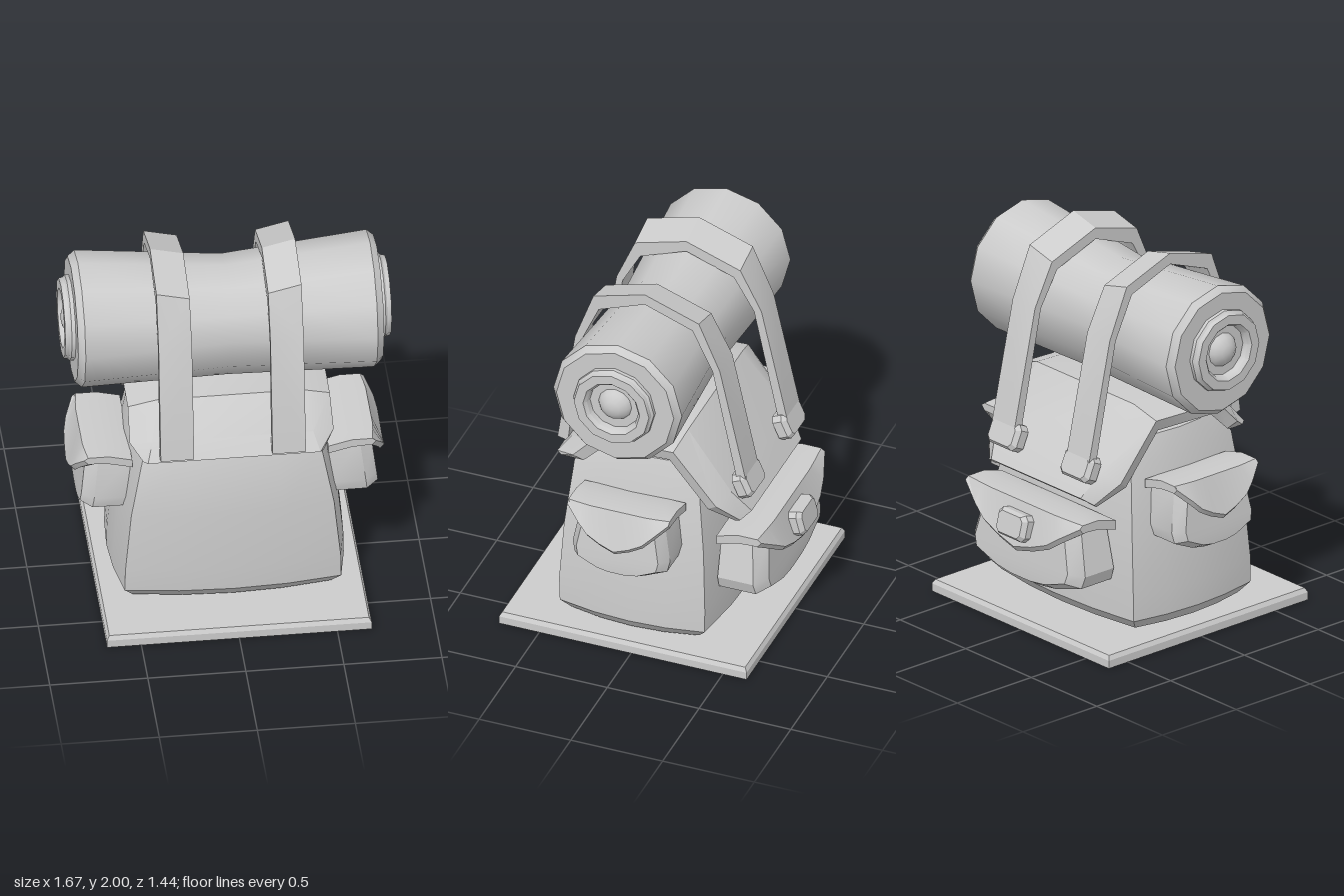
import * as THREE from 'three';
import { toCreasedNormals } from 'three/addons/utils/BufferGeometryUtils.js';

const material = new THREE.MeshStandardMaterial({ color: 0xcccccc });

// Skin a series of equal-length (even) rings and close both ends.
function loft(rings, crease = 0.5) {
  const n = rings[0].length;
  const pos = [];
  const quad = (a, b, c, d) => pos.push(...a, ...b, ...c, ...a, ...c, ...d);
  for (let r = 0; r < rings.length - 1; r++) {
    for (let i = 0; i < n; i++) {
      const j = (i + 1) % n;
      quad(rings[r][i], rings[r][j], rings[r + 1][j], rings[r + 1][i]);
    }
  }
  const last = rings[rings.length - 1];
  for (let i = 0; i < n / 2 - 1; i++) {
    quad(rings[0][n - 1 - i], rings[0][n - 2 - i], rings[0][i + 1], rings[0][i]);
    quad(last[i], last[i + 1], last[n - 2 - i], last[n - 1 - i]);
  }
  // Turn the faces outward if the enclosed volume is negative
  let volume = 0;
  const p = (k) => new THREE.Vector3(pos[k], pos[k + 1], pos[k + 2]);
  for (let k = 0; k < pos.length; k += 9) volume += p(k).dot(p(k + 3).cross(p(k + 6)));
  if (volume < 0) {
    for (let k = 0; k < pos.length; k += 9) {
      for (let m = 0; m < 3; m++) [pos[k + 3 + m], pos[k + 6 + m]] = [pos[k + 6 + m], pos[k + 3 + m]];
    }
  }
  const geo = new THREE.BufferGeometry();
  geo.setAttribute('position', new THREE.Float32BufferAttribute(pos, 3));
  return toCreasedNormals(geo, crease);
}

function add(parent, name, geo) {
  const mesh = new THREE.Mesh(geo, material);
  mesh.name = name;
  parent.add(mesh);
  return mesh;
}

// Rectangle with sharp corners and gently bulging sides, as x, z points
function bulgedRect(hx, back, front, bulge) {
  const cz = (back + front) / 2, hz = (front - back) / 2;
  const cx = hx - bulge, ch = hz - bulge;
  const steps = [-1, -0.5, 0, 0.5];
  const swell = (t) => bulge * (1 - t * t);
  return [
    ...steps.map((t) => [t * cx, cz + ch + swell(t)]),
    ...steps.map((t) => [cx + swell(t), cz - t * ch]),
    ...steps.map((t) => [-t * cx, cz - ch - swell(t)]),
    ...steps.map((t) => [-cx - swell(t), cz + t * ch]),
  ];
}

// Bevelled buckle facing +z
function buckle() {
  const outline = [[0.085, 0.07], [0.11, 0.045], [0.11, -0.045], [0.085, -0.07],
    [-0.085, -0.07], [-0.11, -0.045], [-0.11, 0.045], [-0.085, 0.07]];
  const layers = [[1, -0.03], [1, 0.02], [0.8, 0.043]];
  return loft(layers.map(([s, z]) => outline.map(([x, y]) => [x * s, y * s, z])));
}

// Pouch with a pointed lid; top at y = 0, facing +z
function pocket(name, hw) {
  const group = new THREE.Group();
  group.name = name;
  const half = [[0.85, -0.05], [1, -0.27], [0.95, -0.33], [0.5, -0.385], [0.2, -0.4]];
  const outline = [...half, ...half.map(([u, y]) => [-u, y]).reverse()];
  add(group, 'pouch', loft([[0, 1], [0.2, 1], [0.262, 0.84]].map(([d, s]) =>
    outline.map(([u, y]) => {
      const py = -0.2 + (y + 0.2) * s;
      return [u * hw * s, py, d - (d > 0 ? 0.12 * Math.max(0, py + 0.33) : 0)];
    }))));
  // Lid sections across the width: position, lip height, lip depth, top depth
  const right = [[0.3, -0.175, 0.305, 0.24], [0.57, -0.135, 0.3, 0.24], [0.76, -0.085, 0.285, 0.235], [1.04, -0.015, 0.245, 0.225]];
  const cuts = [...right.map(([u, ...r]) => [-u, ...r]).reverse(), [0, -0.205, 0.308, 0.24], ...right];
  add(group, 'pocketLid', loft(cuts.map(([u, y, d, t]) =>
    [[0, -0.03], [0.12, 0], [t, 0], [d, y], [d - 0.022, y - 0.026], [t - 0.03, -0.04], [0.12, -0.045], [0, -0.075]]
      .map(([pd, py]) => [u * hw, py, pd]))));
  return group;
}

export function createModel() {
  const model = new THREE.Group();
  model.name = 'backpackOnStand';

  // Stand plate, hollow underneath
  const plate = [[0.662, 0.055], [0.67, 0], [0.675, 0], [0.675, 0.042], [0.662, 0.065]];
  add(model, 'standPlate', loft(plate.map(([h, y]) =>
    [[h, y, 0.045 + h], [h, y, 0.045 - h], [-h, y, 0.045 - h], [-h, y, 0.045 + h]])));

  // Bag body: height, half width, back, front
  const body = [
    [0.08, 0.555, -0.35, 0.44], [0.14, 0.6, -0.4, 0.485], [0.27, 0.597, -0.4, 0.49],
    [0.6, 0.565, -0.38, 0.475], [0.95, 0.5, -0.33, 0.445], [1.075, 0.46, -0.3, 0.38],
  ];
  add(model, 'bagBody', loft(body.map(([y, hx, b, f]) => bulgedRect(hx, b, f, 0.048).map(([x, z]) => [x, y, z]))));

  // Main flap: z, y, outward normal, side half width, crown half width, side drop, thickness
  const flap = [
    [0.495, 0.975, 0.97, 0.24, 0.46, 0.44, 0.03, 0.055], [0.43, 1.06, 0.85, 0.53, 0.52, 0.41, 0.06, 0.06],
    [0.28, 1.215, 0.45, 0.87, 0.515, 0.37, 0.06, 0.07], [-0.19, 1.235, -0.4, 0.92, 0.515, 0.37, 0.06, 0.07],
    [-0.44, 0.93, -0.79, 0.61, 0.5, 0.4, 0.06, 0.065], [-0.525, 0.8, -0.79, 0.61, 0.4, 0.34, 0.05, 0.04],
  ];
  add(model, 'mainFlap', loft(flap.map(([z, y, nz, ny, w, c, drop, thick]) => {
    const at = (x, d) => [x, y - ny * d, z - nz * d];
    return [at(-w, drop), at(-c, 0), at(c, 0), at(w, drop),
      at(w - 0.02, drop + thick), at(c, thick), at(-c, thick), at(0.02 - w, drop + thick)];
  })));

  // Bedroll, twelve-sided, sagging on top and pinched in the middle
  const rollY = 1.59, rollZ = 0.045;
  const stations = [-0.78, -0.745, -0.37, 0, 0.37, 0.745, 0.78];
  add(model, 'bedroll', loft(stations.map((x) => {
    const end = Math.abs(x) > 0.76;
    const r = end ? 0.32 : 0.3 + 0.05 * Math.abs(x) / 0.745;
    return Array.from({ length: 12 }, (_, i) => {
      const a = i * Math.PI / 6;
      const ry = Math.cos(a) < 0 ? (end ? 0.325 : 0.355) : r - 0.03 * (1 - Math.abs(x) / 0.78);
      return [x, rollY + ry * Math.cos(a), rollZ + r * Math.sin(a)];
    });
  }), 0.6));

  // Rolled ends with a hollow centre and a rounded core
  const endProfile = [[0.22, 0.7], [0.22, 0.8], [0.21, 0.81], [0.205, 0.832], [0.155, 0.832], [0.14, 0.815], [0.135, 0.785]]
    .map(([r, y]) => new THREE.Vector2(r, y));
  for (const side of [1, -1]) {
    const end = new THREE.Group();
    end.name = side > 0 ? 'leftRollEnd' : 'rightRollEnd';
    end.position.set(0, rollY + 0.008, rollZ);
    end.rotation.z = -side * Math.PI / 2;
    add(end, 'rollRim', toCreasedNormals(new THREE.LatheGeometry(endProfile, 12), 0.55));
    add(end, 'rollCore', new THREE.SphereGeometry(0.105, 12, 8)).position.y = 0.73;
    model.add(end);
  }

  // Straps over the bedroll: outer z, y, then inner z, y
  const strap = [
    [0.525, 1.005, 0.468, 0.99], [0.43, 1.645, 0.398, 1.625], [0.33, 1.92, 0.3, 1.845], [0.05, 2, 0.05, 1.94],
    [-0.245, 1.895, -0.21, 1.845], [-0.36, 1.63, -0.32, 1.62], [-0.5, 1, -0.45, 1],
  ];
  for (const side of [1, -1]) {
    const label = side > 0 ? 'left' : 'right';
    add(model, label + 'Strap', loft(strap.map(([zo, yo, zi, yi], i) => {
      const tilt = i > 1 && i < 5 ? 0.042 : 0;
      const xo = side * 0.37 - 0.008, xi = side * 0.2 - 0.008;
      return [[xo, yo, zo], [xi, yo - tilt, zo], [xi, yi - tilt, zi], [xo, yi, zi]];
    }), 0.4));
    const clasp = add(model, label + 'StrapBuckle', buckle());
    clasp.position.set(side * 0.278 - 0.008, 0.95, -0.478);
    clasp.rotation.set(0.42, Math.PI, 0);

    // Side pockets
    const pouch = pocket(label + 'Pocket', 0.265);
    pouch.position.set(side * 0.5, 0.905, 0.045);
    pouch.rotation.y = side * Math.PI / 2;
    model.add(pouch);
  }

  // Back pocket with its buckle
  const back = pocket('backPocket', 0.42);
  back.position.set(0, 0.7, -0.37);
  back.rotation.y = Math.PI;
  back.scale.y = 1.11;
  model.add(back);
  const backBuckle = add(model, 'backPocketBuckle', buckle());
  backBuckle.position.set(0, 0.59, -0.665);
  backBuckle.rotation.set(0.25, Math.PI, 0);

  return model;
}
